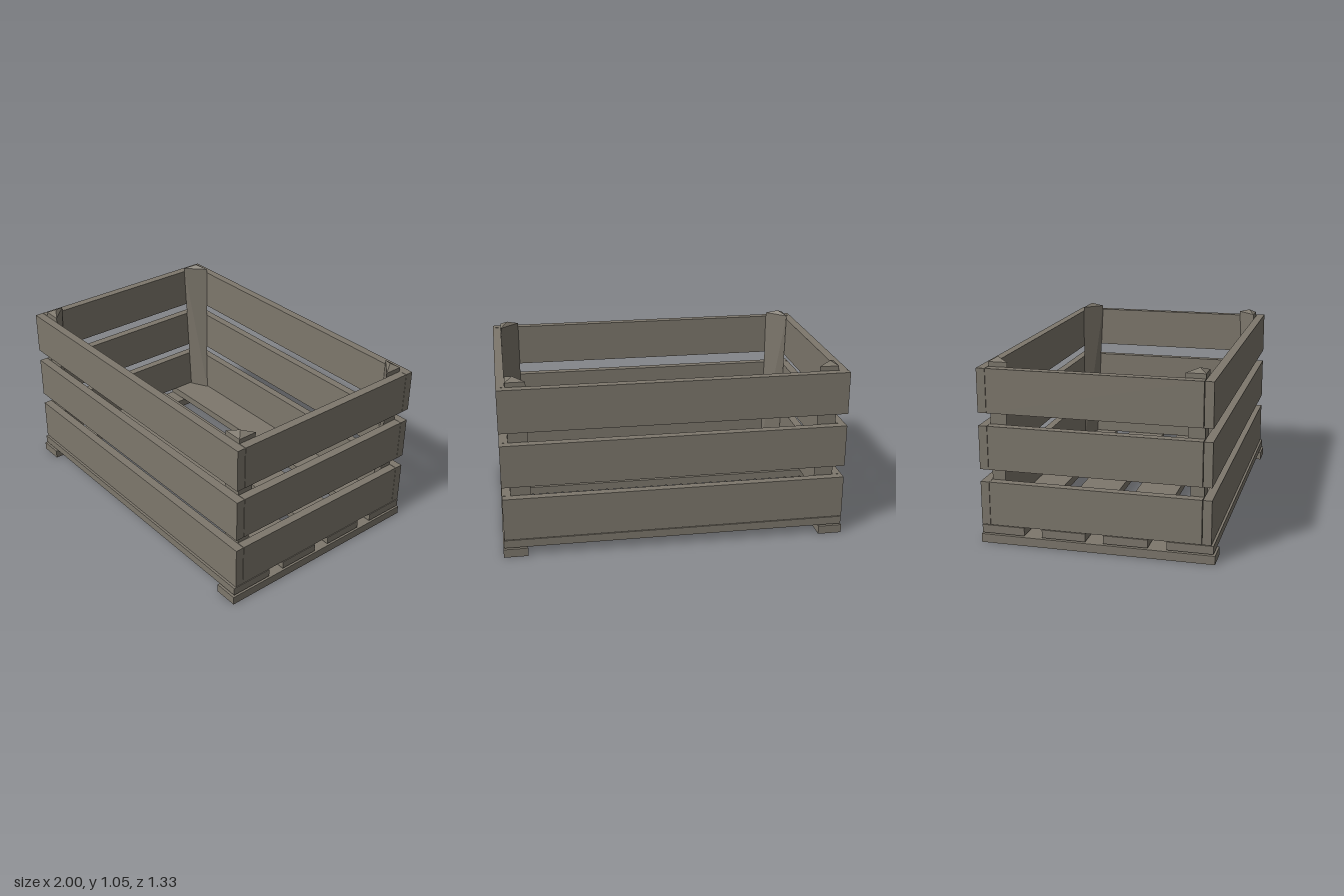
import * as THREE from 'three';
import { ConvexGeometry } from 'three/addons/geometries/ConvexGeometry.js';

export function createModel() {
  const crate = new THREE.Group();
  crate.name = 'crate';
  const wood = new THREE.MeshStandardMaterial({ color: 0x7d776c, flatShading: true });

  // Plank given by its [min, max] range along each axis
  function plank(name, [x0, x1], [y0, y1], [z0, z1]) {
    const mesh = new THREE.Mesh(new THREE.BoxGeometry(x1 - x0, y1 - y0, z1 - z0), wood);
    mesh.position.set((x0 + x1) / 2, (y0 + y1) / 2, (z0 + z1) / 2);
    mesh.name = name;
    crate.add(mesh);
  }

  // Three rows of wall slats
  const rows = [[0.108, 0.36], [0.432, 0.682], [0.756, 1.006]];
  rows.forEach((y, i) => {
    plank(`frontSlat${i + 1}`, [-0.997, 0.992], y, [0.593, 0.643]);
    plank(`backSlat${i + 1}`, [-0.997, 0.992], y, [-0.66, -0.611]);
    plank(`leftSlat${i + 1}`, [0.943, 0.992], y, [-0.609, 0.59]);
    plank(`rightSlat${i + 1}`, [-0.997, -0.946], y, [-0.609, 0.59]);
  });

  // Floor boards, front to back
  const boards = [[0.397, 0.655], [0.043, 0.293], [-0.31, -0.06], [-0.66, -0.413]];
  boards.forEach((z, i) => plank(`floorBoard${i + 1}`, [-0.995, 0.993], [0.057, 0.104], z));

  // Runners under both ends
  plank('leftRunner', [0.86, 1], [0, 0.05], [-0.665, 0.665]);
  plank('rightRunner', [-1, -0.86], [0, 0.05], [-0.665, 0.665]);

  // Triangular corner posts, tapering downward, with a low pointed top
  function post(name, sx, sz, wallZ) {
    const wallX = 0.942, innerX = 0.83;
    const section = (y, depth) => [
      [wallX, y, wallZ], [innerX, y, wallZ], [wallX, y, wallZ - depth],
    ];
    const points = [
      ...section(0.104, 0.06),
      ...section(1.032, 0.11),
      [0.9, 1.055, wallZ - 0.04],
    ].map(([x, y, z]) => new THREE.Vector3(sx * x, y, sz * z));
    const mesh = new THREE.Mesh(new ConvexGeometry(points), wood);
    mesh.name = name;
    crate.add(mesh);
  }
  for (const [side, sx] of [['Left', 1], ['Right', -1]]) {
    post(`front${side}Post`, sx, 1, 0.59);
    post(`back${side}Post`, sx, -1, 0.609);
  }

  return crate;
}
